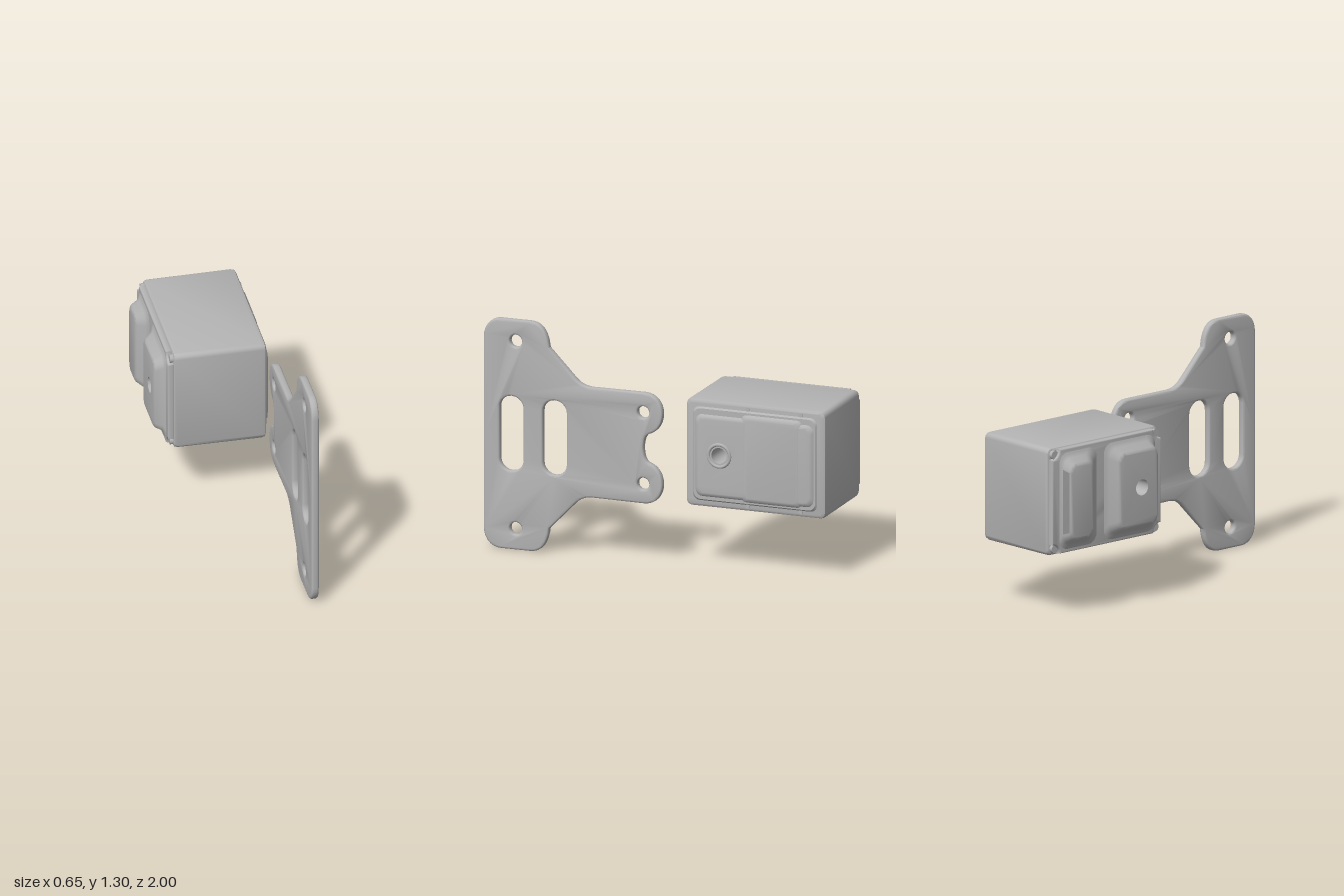
import * as THREE from 'three';
import { mergeGeometries, toCreasedNormals } from 'three/addons/utils/BufferGeometryUtils.js';

const MID = 0.6525;                 // height of the symmetry line
const BORE = { u: 0.385, y: 0.655, r: 0.045 };

// Profiles are drawn in (u, y) with u = -z, then turned so depth runs along +x.
const turn = (geo, x) => geo.rotateY(Math.PI / 2).translate(x, 0, 0);
const circle = (u, y, r) => new THREE.Path().absarc(u, y, r, 0, Math.PI * 2, true);

// Rounded rectangle as 24 points, counter-clockwise from the lower right corner
function ring(u0, u1, y0, y1, r) {
  const pts = [];
  [[u1 - r, y0 + r], [u1 - r, y1 - r], [u0 + r, y1 - r], [u0 + r, y0 + r]].forEach(([u, y], k) => {
    for (let i = 0; i < 6; i++) {
      const a = (k - 1 + i / 5) * Math.PI / 2;
      pts.push(new THREE.Vector2(u + r * Math.cos(a), y + r * Math.sin(a)));
    }
  });
  return pts;
}

// Skin over rounded rectangles [x, u0, u1, y0, y1, r], ordered by rising x
function loft(rows, { start = false, end = false, bore = false, slotBand = -1 } = {}) {
  const rings = rows.map(([, ...r]) => ring(...r));
  const n = 24, pos = [], index = [];
  rings.forEach((pts, i) => pts.forEach(p => pos.push(rows[i][0], p.y, -p.x)));
  for (let i = 0; i < rings.length - 1; i++) {
    for (let j = 0; j < n; j++) {
      if (i === slotBand && j === 5) continue;
      const a = i * n + j, b = i * n + (j + 1) % n;
      index.push(a, b, b + n, a, b + n, a + n);
    }
  }
  const side = new THREE.BufferGeometry();
  side.setAttribute('position', new THREE.Float32BufferAttribute(pos, 3));
  side.setIndex(index);
  const parts = [side];
  const cap = (i, flip) => {
    const s = new THREE.Shape(rings[i]);
    if (bore) s.holes.push(circle(BORE.u, BORE.y, BORE.r));
    const g = turn(new THREE.ShapeGeometry(s, 12), rows[i][0]);
    g.deleteAttribute('uv');
    g.deleteAttribute('normal');
    if (flip) g.setIndex(Array.from(g.index.array).reverse());
    parts.push(g);
  };
  if (start) cap(0, true);
  if (end) cap(rows.length - 1, false);
  return toCreasedNormals(mergeGeometries(parts.map(g => g.toNonIndexed())), 0.7);
}

function extrude(shape, x0, x1, bevel) {
  const g = new THREE.ExtrudeGeometry(shape, {
    depth: x1 - x0 - 2 * bevel, bevelThickness: bevel, bevelSize: bevel,
    bevelOffset: -bevel, bevelSegments: 3, curveSegments: 10,
  });
  return toCreasedNormals(turn(g, x0 + bevel), 0.6);
}

// Bracket outline: lower half is traced, upper half is its mirror image
function bracketShape() {
  const half = new THREE.Path();
  half.moveTo(-1, MID);
  half.lineTo(-1, 0.11);
  half.bezierCurveTo(-1, 0.05, -0.96, 0, -0.9, 0);
  half.lineTo(-0.73, 0);
  half.bezierCurveTo(-0.66, 0, -0.625, 0.05, -0.615, 0.14);
  half.lineTo(-0.46, 0.3);
  half.quadraticCurveTo(-0.42, 0.34, -0.36, 0.34);
  half.lineTo(-0.06, 0.338);
  half.bezierCurveTo(0.01, 0.338, 0.05, 0.39, 0.05, 0.45);
  half.bezierCurveTo(0.05, 0.53, 0, 0.56, -0.03, 0.57);
  half.quadraticCurveTo(-0.06, 0.585, -0.062, MID);
  const low = half.getPoints(8);
  const high = low.slice(1, -1).reverse().map(p => new THREE.Vector2(p.x, 2 * MID - p.y));
  const shape = new THREE.Shape([...low, ...high]);
  for (const s of [-1, 1]) {
    shape.holes.push(circle(-0.81, MID + s * 0.532, 0.035), circle(-0.062, MID + s * 0.203, 0.034));
  }
  for (const u of [-0.836, -0.582]) {
    shape.holes.push(new THREE.Path(ring(u - 0.07, u + 0.07, 0.445, 0.87, 0.068).reverse()));
  }
  return shape;
}

// Cover plate with a concave bite at each corner
function coverShape() {
  const [u0, u1, y0, y1, b] = [0.19, 0.99, 0.36, 0.948, 0.055];
  const s = new THREE.Shape();
  s.moveTo(u0 + b, y0);
  s.lineTo(u1 - b, y0);
  s.absarc(u1, y0, b, Math.PI, Math.PI / 2, true);
  s.lineTo(u1, y1 - b);
  s.absarc(u1, y1, b, -Math.PI / 2, -Math.PI, true);
  s.lineTo(u0 + b, y1);
  s.absarc(u0, y1, b, 0, -Math.PI / 2, true);
  s.lineTo(u0, y0 + b);
  s.absarc(u0, y0, b, Math.PI / 2, 0, true);
  s.holes.push(circle(BORE.u, BORE.y, BORE.r));
  return s;
}

export function createModel() {
  const model = new THREE.Group();
  const grey = new THREE.MeshStandardMaterial({ color: 0xb4b4b4, side: THREE.DoubleSide });
  grey.name = 'plain grey';
  const add = (name, geo, parent = model) => {
    const m = new THREE.Mesh(geo, grey);
    m.name = name;
    parent.add(m);
    return m;
  };
  // Short rod lying along x
  const rod = (r, x0, x1, u, y, sides, open = false) =>
    new THREE.CylinderGeometry(r, r, x1 - x0, sides, 1, open)
      .rotateZ(Math.PI / 2).translate((x0 + x1) / 2, y, -u);

  // Mounting bracket, leaning very slightly
  const plate = extrude(bracketShape(), 0.272, 0.314, 0.012);
  const p = plate.attributes.position;
  for (let i = 0; i < p.count; i++) p.setX(i, p.getX(i) + 0.008 * p.getZ(i));
  add('mountingBracket', plate);

  const housing = new THREE.Group();
  housing.name = 'housing';
  model.add(housing);

  // Main box with softened edges
  add('housingBody', loft([
    [-0.232, 0.195, 0.985, 0.363, 0.942, 0.03],
    [-0.226, 0.186, 0.994, 0.354, 0.951, 0.03],
    [-0.21, 0.182, 0.998, 0.35, 0.955, 0.03],
    [0.262, 0.18, 1, 0.349, 0.957, 0.03],
    [0.28, 0.184, 0.996, 0.353, 0.953, 0.03],
    [0.287, 0.195, 0.985, 0.363, 0.942, 0.03],
  ], { start: true, end: true, bore: true }), housing);

  // Cover on the right side, with screw heads in its corner bites
  add('cover', extrude(coverShape(), -0.264, -0.225, 0.01), housing);
  for (const u of [0.22, 0.96]) {
    for (const y of [0.39, 0.918]) add('cornerScrew', rod(0.024, -0.25, -0.22, u, y, 16), housing);
  }

  // Two raised covers with a valley between; the rear one has a slot in its back slope
  add('rearBulge', loft([
    [-0.325, 0.75, 0.9, 0.45, 0.855, 0.04],
    [-0.317, 0.735, 0.912, 0.435, 0.87, 0.05],
    [-0.278, 0.7, 0.925, 0.41, 0.895, 0.06],
    [-0.268, 0.675, 0.935, 0.39, 0.915, 0.06],
    [-0.26, 0.655, 0.945, 0.37, 0.935, 0.06],
  ], { start: true, slotBand: 1 }), housing);
  add('frontBulge', loft([
    [-0.325, 0.275, 0.54, 0.45, 0.855, 0.04],
    [-0.317, 0.262, 0.555, 0.435, 0.87, 0.05],
    [-0.278, 0.25, 0.585, 0.41, 0.895, 0.06],
    [-0.268, 0.24, 0.605, 0.39, 0.915, 0.06],
    [-0.26, 0.23, 0.62, 0.37, 0.935, 0.06],
  ], { start: true, bore: true }), housing);

  // Stepped panel on the left side
  add('panelStep', loft([
    [0.285, 0.22, 0.955, 0.385, 0.92, 0.04],
    [0.297, 0.23, 0.945, 0.395, 0.91, 0.04],
  ], { end: true, bore: true }), housing);
  add('panel', loft([
    [0.295, 0.24, 0.937, 0.412, 0.88, 0.04],
    [0.307, 0.25, 0.927, 0.422, 0.87, 0.04],
    [0.311, 0.262, 0.915, 0.434, 0.858, 0.04],
  ], { end: true, bore: true }), housing);
  add('panelBulge', loft([
    [0.295, 0.51, 0.87, 0.402, 0.9, 0.03],
    [0.308, 0.52, 0.86, 0.412, 0.89, 0.03],
    [0.313, 0.535, 0.845, 0.427, 0.875, 0.03],
  ], { end: true }), housing);
  for (const u of [0.545, 0.858]) {
    for (const y of [0.379, 0.929]) add('panelScrew', rod(0.013, 0.28, 0.292, u, y, 6), housing);
  }

  // Hole straight through the housing, with a raised ring round it
  add('boreWall', rod(BORE.r, -0.325, 0.311, BORE.u, BORE.y, 24, true), housing);
  add('boreRing', new THREE.TorusGeometry(0.063, 0.01, 8, 24)
    .rotateY(Math.PI / 2).translate(0.31, BORE.y, -BORE.u), housing);

  return model;
}
